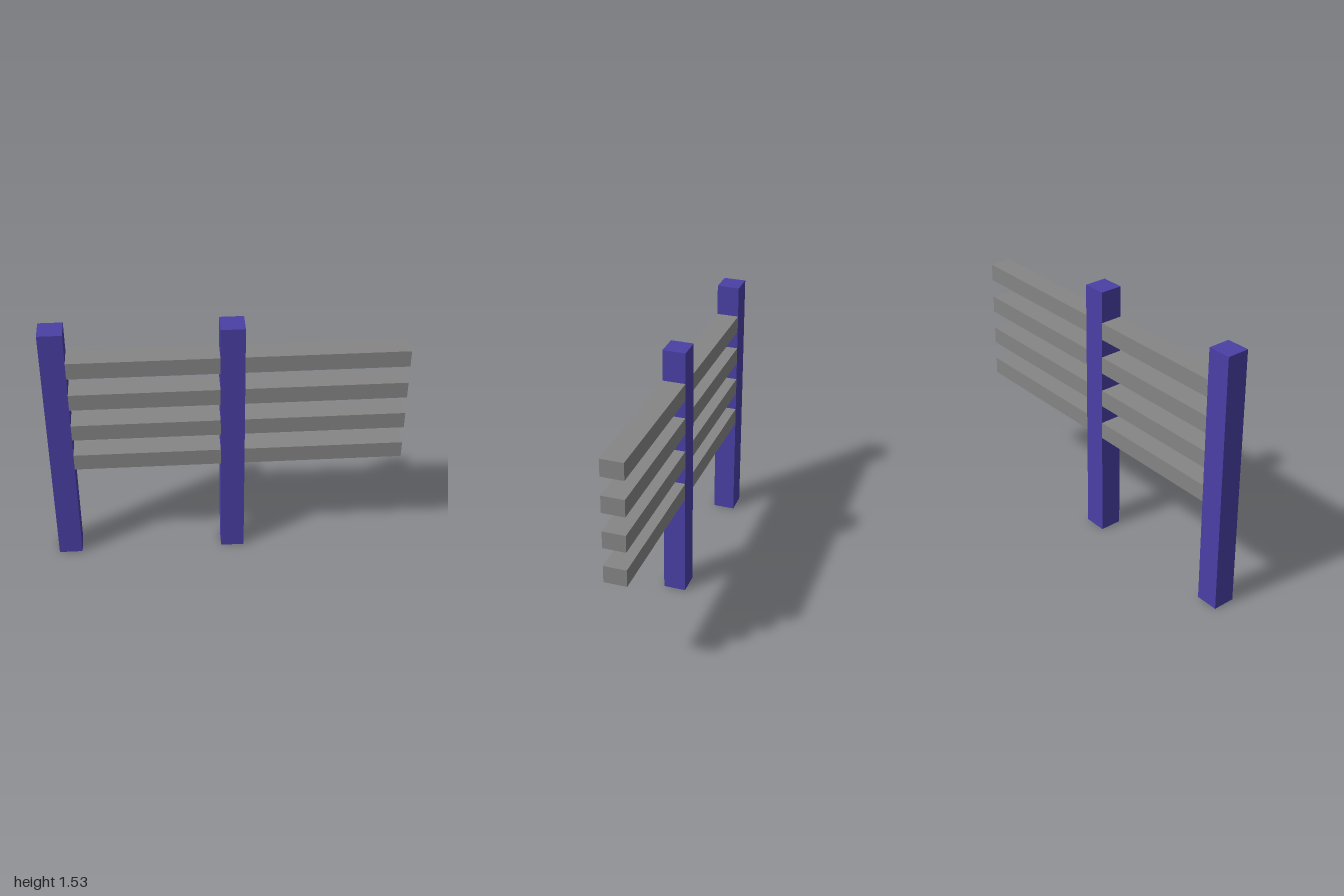
import * as THREE from 'three';

const DEPTH = 0.13;
const POST_WIDTH = 0.135;
const POST_HEIGHT = 1.535;
const RAIL_HEIGHT = 0.1;

export function createModel() {
  const model = new THREE.Group();
  model.name = 'fence';
  const postPaint = new THREE.MeshStandardMaterial({ name: 'indigo', color: 0x4a3fa5 });
  const railPaint = new THREE.MeshStandardMaterial({ name: 'grey', color: 0x858585 });

  // Box spanning x0..x1 and y0..y1, centred on z
  function addBox(name, x0, x1, y0, y1, material) {
    const mesh = new THREE.Mesh(new THREE.BoxGeometry(x1 - x0, y1 - y0, DEPTH), material);
    mesh.position.set((x0 + x1) / 2, (y0 + y1) / 2, 0);
    mesh.name = name;
    model.add(mesh);
  }

  // Two upright posts
  const endX = -1;
  const middleX = -0.035;
  addBox('endPost', endX, endX + POST_WIDTH, 0, POST_HEIGHT, postPaint);
  addBox('middlePost', middleX, middleX + POST_WIDTH, 0, POST_HEIGHT, postPaint);

  // Four rails, flush with the posts, in two bays; the second bay is open-ended
  for (let i = 0; i < 4; i++) {
    const y = 0.631 + i * 0.208;
    addBox(`innerRail${i + 1}`, endX + POST_WIDTH, middleX, y, y + RAIL_HEIGHT, railPaint);
    addBox(`outerRail${i + 1}`, middleX + POST_WIDTH, 1, y, y + RAIL_HEIGHT, railPaint);
  }
  return model;
}
